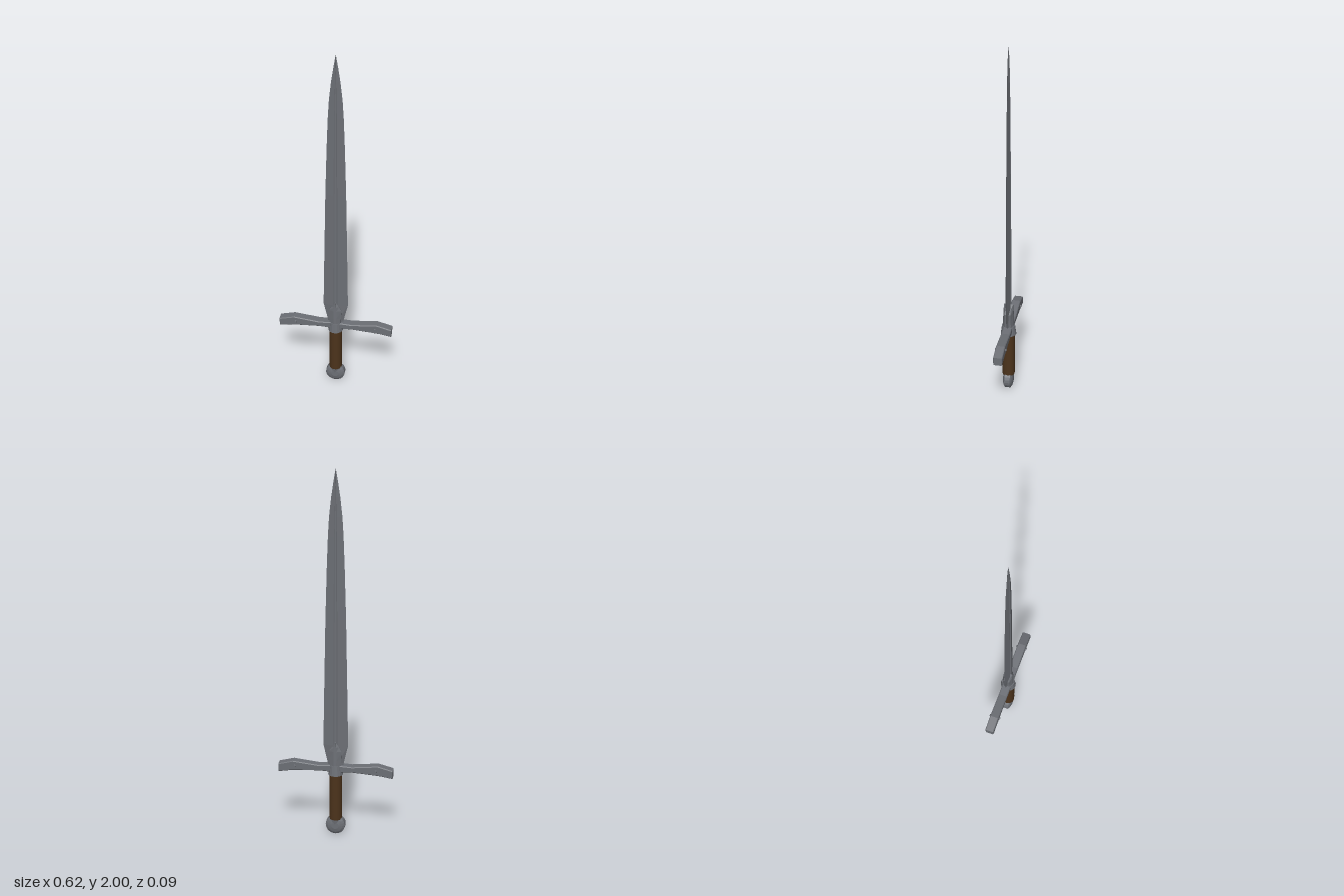
import * as THREE from 'three';

const steel = new THREE.MeshStandardMaterial({ color: 0x6c6f75 });
steel.name = 'steel';
const leather = new THREE.MeshStandardMaterial({ color: 0x4c331b });
leather.name = 'brownLeather';

// Flat facets: every face gets its own normals
function faceted(geometry) {
  const g = geometry.index ? geometry.toNonIndexed() : geometry;
  g.computeVertexNormals();
  return g;
}

// Skin rings of [x, y, z] points, stacked upward, each running from +x toward +z
function loft(rings) {
  const n = rings[0].length;
  const index = [];
  for (let i = 0; i < rings.length - 1; i++) {
    for (let j = 0; j < n; j++) {
      const a = i * n + j, b = i * n + (j + 1) % n;
      index.push(a, a + n, b, b, a + n, b + n);
    }
  }
  const top = (rings.length - 1) * n;
  for (let j = 1; j < n - 1; j++) {
    index.push(0, j, j + 1, top, top + j + 1, top + j);
  }
  const g = new THREE.BufferGeometry();
  g.setAttribute('position', new THREE.Float32BufferAttribute(rings.flat(2), 3));
  g.setIndex(index);
  return faceted(g);
}

function outline(points) {
  return new THREE.Shape(points.map(([x, y]) => new THREE.Vector2(x, y)));
}

// Full symmetric outline from its right half
const mirrored = (half) => [...half, ...half.slice().reverse().map(([x, y]) => [-x, y])];

export function createModel() {
  const model = new THREE.Group();
  model.name = 'sword';
  const add = (name, geometry, material, x = 0, y = 0, z = 0) => {
    const mesh = new THREE.Mesh(geometry, material);
    mesh.name = name;
    mesh.position.set(x, y, z);
    model.add(mesh);
    return mesh;
  };

  // Blade: height, half width, half thickness, groove half width
  const stations = [
    [0.37, 0.036, 0.015, 0.012], [0.42, 0.044, 0.015, 0.012],
    [0.52, 0.067, 0.014, 0.012], [0.80, 0.062, 0.013, 0.011],
    [1.22, 0.054, 0.011, 0.010], [1.50, 0.046, 0.009, 0.008],
    [1.66, 0.040, 0.008, 0.007], [1.76, 0.034, 0.007, 0.005],
    [1.86, 0.023, 0.006, 0.003], [1.94, 0.011, 0.004, 0.001],
    [2.00, 0.0006, 0.0006, 0.0002],
  ];
  add('blade', loft(stations.map(([y, w, t, f]) => [
    [w, y, 0], [f, y, t], [f * 0.4, y, t * 0.6], [-f * 0.4, y, t * 0.6], [-f, y, t],
    [-w, y, 0], [-f, y, -t], [-f * 0.4, y, -t * 0.6], [f * 0.4, y, -t * 0.6], [f, y, -t],
  ])), steel);

  // Pointed sleeve clasping the blade root, ridged along its middle
  const sleeve = [
    [0.38, 0.030, 0.031], [0.44, 0.031, 0.029], [0.49, 0.034, 0.027],
    [0.515, 0.020, 0.026], [0.54, 0.003, 0.025],
  ];
  add('bladeSleeve', loft(sleeve.map(([y, w, t]) => [
    [w, y, 0], [w, y, t * 0.6], [w * 0.25, y, t], [-w * 0.25, y, t], [-w, y, t * 0.6],
    [-w, y, 0], [-w, y, -t * 0.6], [-w * 0.25, y, -t], [w * 0.25, y, -t], [w, y, -t * 0.6],
  ])), steel);

  // Crossguard with arms bending down at the ends
  const guardShape = outline(mirrored([
    [0.03, 0.374], [0.09, 0.378], [0.20, 0.371], [0.25, 0.367], [0.307, 0.357],
    [0.307, 0.396], [0.27, 0.410], [0.23, 0.416], [0.16, 0.407], [0.09, 0.401], [0.03, 0.406],
  ].slice(0, 5)).length ? [
    [0, 0.374], [0.09, 0.378], [0.20, 0.371], [0.25, 0.367], [0.307, 0.357],
    [0.307, 0.396], [0.23, 0.416], [0.09, 0.401], [0, 0.406],
    [-0.09, 0.401], [-0.23, 0.416], [-0.307, 0.396],
    [-0.307, 0.357], [-0.25, 0.367], [-0.20, 0.371], [-0.09, 0.378],
  ] : []);
  const guard = new THREE.ExtrudeGeometry(guardShape, {
    depth: 0.04, bevelEnabled: true, bevelThickness: 0.004, bevelSize: 0.004, bevelSegments: 1,
  });
  add('crossguard', faceted(guard), steel, 0, 0, -0.02);

  // Rivets on both faces of each arm
  for (const x of [-0.22, 0.22]) {
    for (const side of [-1, 1]) {
      const rivet = add('guardRivet', new THREE.CylinderGeometry(0.005, 0.008, 0.008, 10), steel,
        x, 0.392, side * 0.027);
      rivet.rotation.x = side * Math.PI / 2;
    }
  }

  // Collar between grip and blade
  const collar = new THREE.CylinderGeometry(0.034, 0.041, 0.055, 16);
  collar.scale(1, 1, 1.05);
  add('collar', faceted(collar), steel, 0, 0.38, 0);

  // Leather grip with fine wrapped ridges
  const gripProfile = [];
  const wraps = 16;
  for (let i = 0; i <= wraps * 2; i++) {
    gripProfile.push(new THREE.Vector2(i % 2 ? 0.0352 : 0.0338, 0.088 + 0.268 * i / (wraps * 2)));
  }
  add('grip', new THREE.LatheGeometry(gripProfile, 20), leather);

  // Wheel pommel: thin rim, thicker domed faces
  const pommelProfile = [
    [0, -0.028], [0.020, -0.028], [0.040, -0.023], [0.053, -0.015],
    [0.053, 0.015], [0.040, 0.023], [0.020, 0.028], [0, 0.028],
  ].map(([r, y]) => new THREE.Vector2(r, y));
  const pommel = new THREE.LatheGeometry(pommelProfile, 20);
  pommel.rotateX(Math.PI / 2);
  add('pommel', faceted(pommel), steel, 0, 0.053, 0);

  // Neck joining pommel and grip
  add('pommelNeck', faceted(new THREE.CylinderGeometry(0.033, 0.026, 0.05, 16)), steel, 0, 0.07, 0);

  return model;
}
